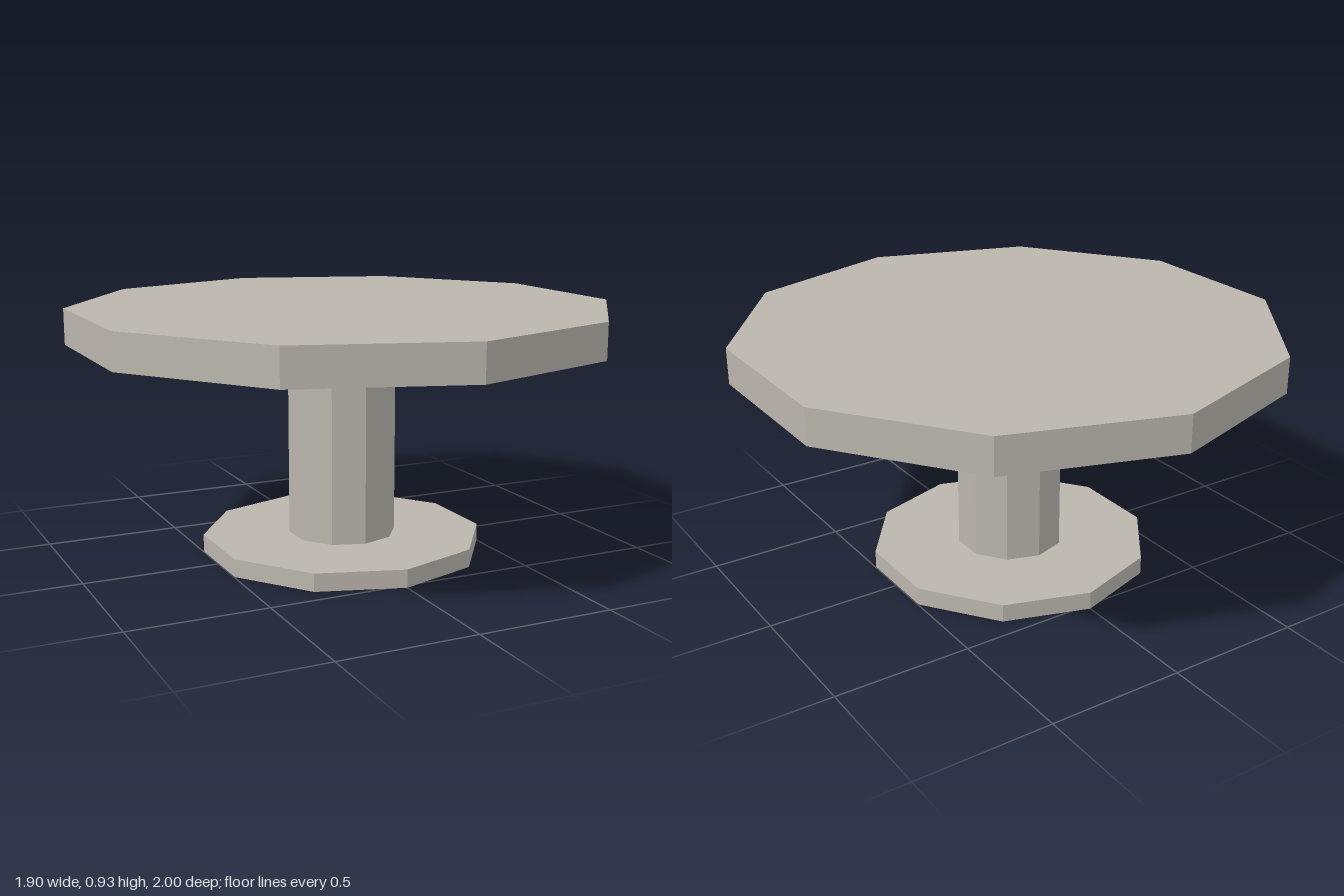
import * as THREE from 'three';

export function createModel() {
  const model = new THREE.Group();
  model.name = 'pedestalTable';

  const stone = new THREE.MeshStandardMaterial({ color: 0xbab6ad, flatShading: true });
  stone.name = 'warm grey stone';

  // Ten-sided prism with a corner facing the front
  function addPrism(name, radius, bottom, top) {
    const height = top - bottom;
    const mesh = new THREE.Mesh(new THREE.CylinderGeometry(radius, radius, height, 10), stone);
    mesh.name = name;
    mesh.position.y = bottom + height / 2;
    model.add(mesh);
  }

  addPrism('base', 0.523, 0, 0.066);
  addPrism('column', 0.2, 0.066, 0.794);
  addPrism('tableTop', 1, 0.794, 0.925);

  return model;
}
